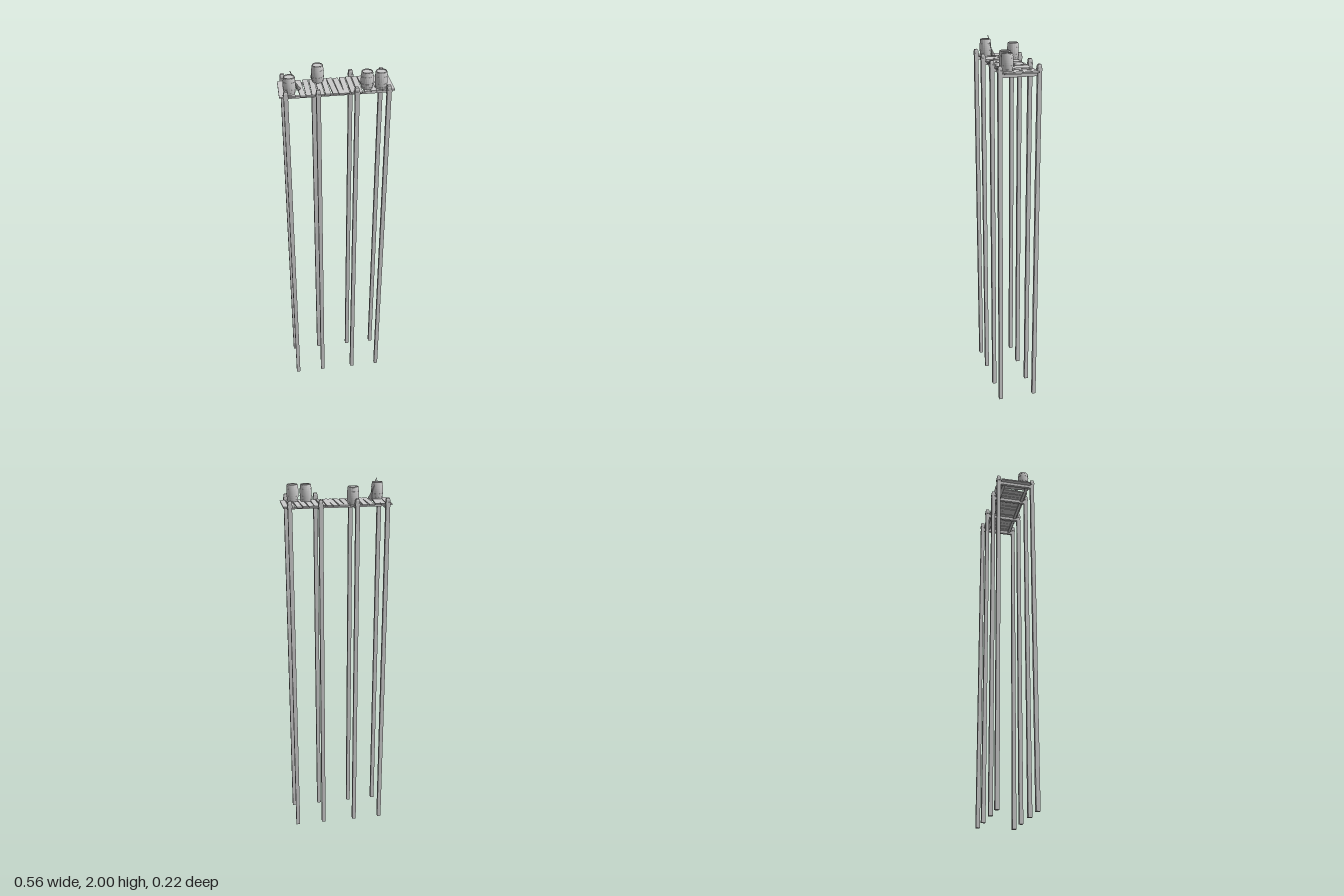
import * as THREE from 'three';

const material = new THREE.MeshStandardMaterial({ color: 0xcccccc, flatShading: true });
const smooth = new THREE.MeshStandardMaterial({ color: 0xcccccc });

function add(parent, name, geometry, x = 0, y = 0, z = 0, mat = material) {
  const mesh = new THREE.Mesh(geometry, mat);
  mesh.name = name;
  mesh.position.set(x, y, z);
  parent.add(mesh);
  return mesh;
}

const box = (w, h, d) => new THREE.BoxGeometry(w, h, d);

// Square frustum with its sides parallel to the axes
function frustum(top, bottom, h) {
  return new THREE.CylinderGeometry(top * Math.SQRT1_2, bottom * Math.SQRT1_2, h, 4).rotateY(Math.PI / 4);
}

// Tall square post with a collar and a chamfered top
function makePost(x, z) {
  const post = new THREE.Group();
  post.name = 'post';
  post.position.set(x, 0, z);
  add(post, 'postShaft', box(0.021, 1.914, 0.021), 0, 0.957, 0);
  add(post, 'postCollar', box(0.025, 0.012, 0.025), 0, 1.897, 0);
  add(post, 'postTop', frustum(0.015, 0.021, 0.009), 0, 1.9185, 0);
  return post;
}

// Bulging barrel with a recessed lid and raised hoops
function makeBarrel(x, z, turn) {
  const barrel = new THREE.Group();
  barrel.name = 'barrel';
  barrel.position.set(x, 1.893, z);
  barrel.rotation.y = turn;
  const radius = (y) => 0.0305 - 0.0045 * ((y - 0.0425) / 0.0425) ** 2;
  const profile = [new THREE.Vector2(0, 0)];
  for (let i = 0; i <= 8; i++) profile.push(new THREE.Vector2(radius(i * 0.0106), i * 0.0106));
  profile.push(new THREE.Vector2(0.0235, 0.085), new THREE.Vector2(0.0235, 0.081), new THREE.Vector2(0, 0.081));
  add(barrel, 'barrelBody', new THREE.LatheGeometry(profile, 20));
  for (const y of [0.004, 0.022, 0.057, 0.076]) {
    const a = radius(y) + 0.001, b = radius(y + 0.006) + 0.001;
    add(barrel, 'barrelHoop', new THREE.LatheGeometry([
      new THREE.Vector2(a - 0.003, y), new THREE.Vector2(a, y),
      new THREE.Vector2(b, y + 0.006), new THREE.Vector2(b - 0.003, y + 0.006),
    ], 20));
  }
  return barrel;
}

// Broom leaning on a barrel: handle, binding and flared bristles
function makeBroom() {
  const broom = new THREE.Group();
  broom.name = 'broom';
  const foot = new THREE.Vector3(-0.18, 1.896, 0.021);
  const tip = new THREE.Vector3(-0.219, 1.999, 0.04);
  const axis = tip.clone().sub(foot);
  const length = axis.length();
  broom.position.copy(foot);
  broom.quaternion.setFromUnitVectors(new THREE.Vector3(0, 1, 0), axis.normalize());
  add(broom, 'broomHandle', new THREE.CylinderGeometry(0.002, 0.002, length - 0.02, 8), 0, length / 2 + 0.01, 0, smooth);
  add(broom, 'broomBinding', new THREE.CylinderGeometry(0.0035, 0.005, 0.008, 10), 0, 0.032, 0);
  add(broom, 'broomBristles', new THREE.CylinderGeometry(0.0045, 0.011, 0.03, 10), 0, 0.015, 0);
  return broom;
}

export function createModel() {
  const model = new THREE.Group();
  model.name = 'pier';

  // Posts in facing pairs, each joined by a cross beam
  const postX = [-0.248, -0.094, 0.091, 0.245];
  for (const x of postX) {
    model.add(makePost(x, -0.1), makePost(x, 0.098));
    add(model, 'crossBeam', box(0.014, 0.018, 0.19), x, 1.876, 0);
  }

  // Long rails under the deck
  for (const z of [-0.065, 0.071]) add(model, 'rail', box(0.51, 0.009, 0.016), 0, 1.881, z);

  // Crooked deck planks: x at the back end, x at the front end, z of the middle
  const planks = [
    [-0.261, -0.265, 0], [-0.231, -0.236, 0], [-0.202, -0.215, 0], [-0.173, -0.165, 0.001],
    [-0.137, -0.137, 0], [-0.106, -0.109, 0], [-0.075, -0.075, 0], [-0.046, -0.045, 0],
    [-0.019, -0.009, 0], [0.012, 0.02, 0.001], [0.045, 0.045, 0], [0.076, 0.077, -0.001],
    [0.107, 0.108, -0.001], [0.134, 0.144, -0.003], [0.165, 0.175, -0.003], [0.195, 0.203, -0.004],
    [0.231, 0.233, -0.005], [0.263, 0.264, -0.006],
  ];
  planks.forEach(([back, front, z], i) => {
    const plank = add(model, 'plank', box(0.0265, 0.007, 0.174), (back + front) / 2, 1.8885 + (i % 3 - 1) * 0.0008, z);
    plank.rotation.y = Math.atan2(front - back, 0.174);
    plank.rotation.z = ((i * 5) % 7 - 3) * 0.015;
  });

  // Barrels and broom on the deck
  const barrels = [[-0.226, 0.052], [-0.078, -0.059], [0.147, 0.045], [0.214, 0.052]];
  barrels.forEach(([x, z], i) => model.add(makeBarrel(x, z, i * 0.7)));
  model.add(makeBroom());

  return model;
}
